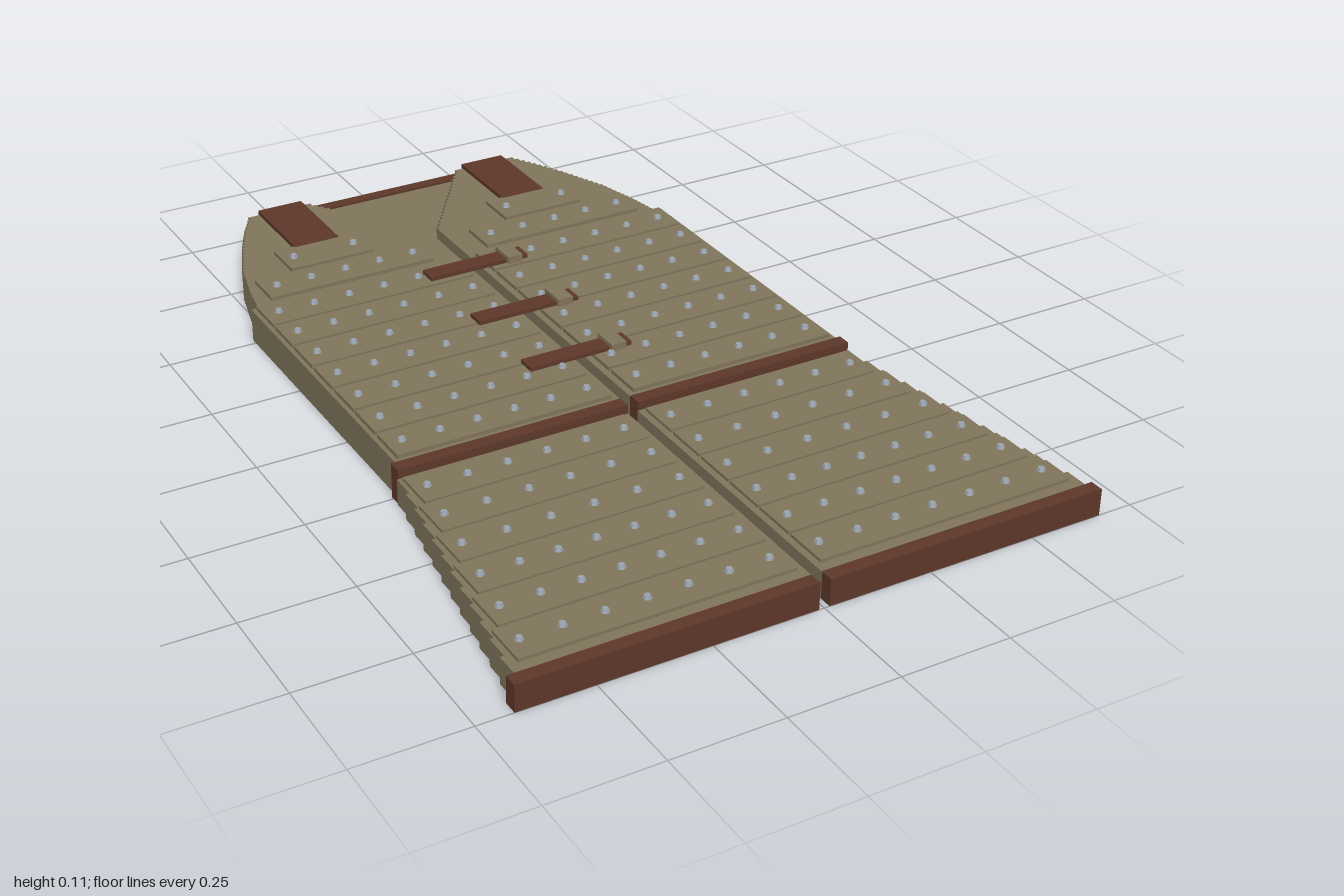
import * as THREE from 'three';

const canvas = new THREE.MeshStandardMaterial({ color: 0x80745a });
canvas.name = 'canvas';
const leather = new THREE.MeshStandardMaterial({ color: 0x5c3729 });
leather.name = 'leather';
const steel = new THREE.MeshStandardMaterial({ color: 0x98a2ac, flatShading: true });
steel.name = 'steel';

const SLIT = 0.012;

// Box given by its limits on each axis
function box(parent, name, material, [x0, x1], [y0, y1], [z0, z1]) {
  const mesh = new THREE.Mesh(new THREE.BoxGeometry(x1 - x0, y1 - y0, z1 - z0), material);
  mesh.position.set((x0 + x1) / 2, (y0 + y1) / 2, (z0 + z1) / 2);
  mesh.name = name;
  parent.add(mesh);
  return mesh;
}

// Linear interpolation through [z, x] points
function sample(points, z) {
  for (let i = 1; i < points.length; i++) {
    const [za, xa] = points[i - 1], [zb, xb] = points[i];
    if (z <= zb) return xa + (xb - xa) * Math.max(0, (z - za) / (zb - za));
  }
  return points[points.length - 1][1];
}

// Panel with stepped inner and outer edges, extruded upwards
function steppedPanel(parent, name, inner, outer, z0, z1, steps, height) {
  const left = [], right = [];
  for (let i = 0; i < steps; i++) {
    const a = z0 + (z1 - z0) * i / steps, b = z0 + (z1 - z0) * (i + 1) / steps;
    const xi = inner((a + b) / 2), xo = outer((a + b) / 2);
    left.push(new THREE.Vector2(xi, -a), new THREE.Vector2(xi, -b));
    right.push(new THREE.Vector2(xo, -a), new THREE.Vector2(xo, -b));
  }
  const shape = new THREE.Shape([...left, ...right.reverse()]);
  const geometry = new THREE.ExtrudeGeometry(shape, { depth: height, bevelEnabled: false });
  geometry.rotateX(-Math.PI / 2);
  const mesh = new THREE.Mesh(geometry, canvas);
  mesh.name = name;
  parent.add(mesh);
}

const rivetGeometry = new THREE.CylinderGeometry(0.007, 0.01, 0.008, 6);

// Raised plate with a row of rivets; side mirrors it
function plate(parent, name, side, x0, x1, z0, z1, top, count, margin) {
  const xs = side > 0 ? [x0, x1] : [-x1, -x0];
  box(parent, name, canvas, xs, [top - 0.012, top], [z0, z1]);
  for (let i = 0; i < count; i++) {
    const x = x0 + margin + (x1 - x0 - 2 * margin) * i / (count - 1);
    const rivet = new THREE.Mesh(rivetGeometry, steel);
    rivet.name = 'rivet';
    rivet.position.set(side * x, top + 0.004, (z0 + z1) / 2);
    parent.add(rivet);
  }
}

export function createModel() {
  const model = new THREE.Group();
  model.name = 'rivetedVest';

  const neck = [[-0.96, 0.205], [-0.68, SLIT], [-0.515, SLIT]];
  const armhole = [[-0.96, 0.36], [-0.9, 0.395], [-0.82, 0.435], [-0.7, 0.485], [-0.6, 0.51], [-0.515, 0.525]];
  const flare = z => 0.55 + (z - 0.275) * 0.155;

  for (const side of [1, -1]) {
    const half = new THREE.Group();
    half.name = side > 0 ? 'leftHalf' : 'rightHalf';
    model.add(half);
    const span = (a, b) => side > 0 ? [a, b] : [-b, -a];

    // Chest, torso and flared skirt backing
    steppedPanel(half, 'chest', z => side * sample(neck, z), z => side * sample(armhole, z), -0.96, -0.515, 30, 0.08);
    box(half, 'torso', canvas, span(SLIT, 0.542), [0, 0.08], [-0.515, 0.245]);
    steppedPanel(half, 'skirt', () => side * SLIT, z => side * flare(z), 0.275, 0.97, 12, 0.061);

    // Leather belt, hem and shoulder strap
    box(half, 'belt', leather, span(SLIT, 0.552), [0, 0.082], [0.243, 0.275]);
    box(half, 'hem', leather, span(SLIT, 0.67), [0, 0.062], [0.968, 1]);
    box(half, 'shoulderStrap', leather, span(0.222, 0.335), [0.07, 0.09], [-0.965, -0.74]);

    // Plates of the chest
    plate(half, 'shoulderPlate', side, 0.178, 0.387, -0.745, -0.64, 0.089, 2, 0.028);
    plate(half, 'chestPlate', side, 0.07, 0.485, -0.627, -0.53, 0.089, 5, 0.034);

    // Rows of the torso
    for (let i = 0; i < 7; i++) {
      const z = -0.458 + i * 0.1068;
      plate(half, 'torsoPlate', side, 0.027, 0.532, z - 0.049, z + 0.049, 0.089, 6, 0.034);
    }

    // Rows of the skirt
    for (let i = 0; i < 6; i++) {
      const z = 0.335 + i * 0.111;
      plate(half, 'skirtPlate', side, 0.027, flare(z - 0.05) - 0.006, z - 0.052, z + 0.052, 0.068, i < 3 ? 6 : 7, 0.03);
    }
  }

  // Lower back panel seen in the neck opening, and its collar
  box(model, 'backPanel', canvas, [-0.205, 0.205], [0, 0.044], [-0.975, -0.665]);
  box(model, 'collar', leather, [-0.222, 0.222], [0, 0.05], [-1, -0.973]);

  // Closing straps with their buckles
  for (const z of [-0.447, -0.203, 0.038]) {
    box(model, 'closingStrap', leather, [-0.13, 0.122], [0.089, 0.098], [z - 0.023, z + 0.023]);
    box(model, 'buckle', canvas, [0.066, 0.103], [0.089, 0.107], [z - 0.032, z + 0.032]);
  }

  // Extruded panels of the right half already wind correctly, as Shape fixes the order
  return model;
}
